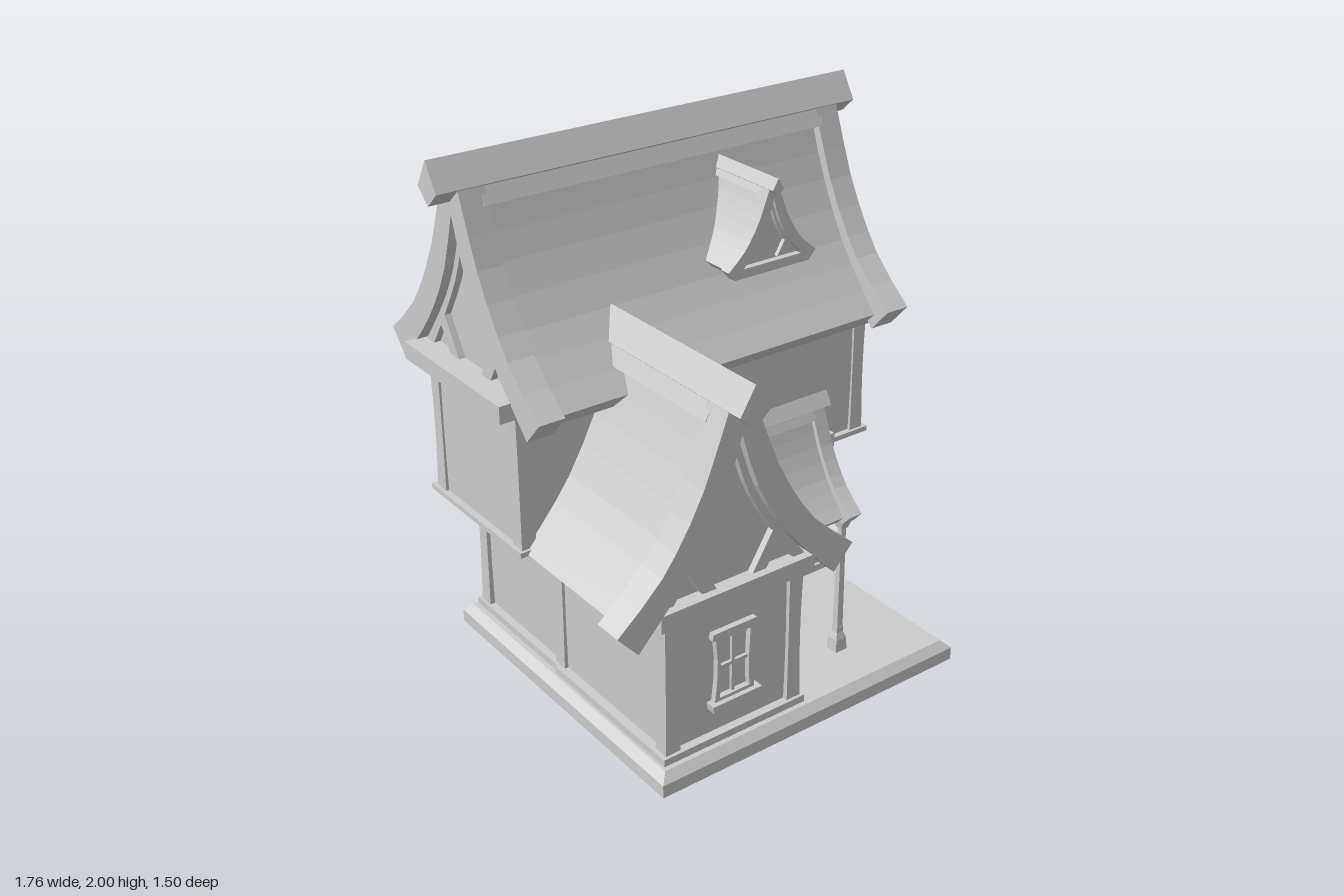
import * as THREE from 'three';

const stone = new THREE.MeshStandardMaterial({ color: 0xcccccc });
stone.name = 'plain grey';

const V = (p) => new THREE.Vector2(p[0], p[1]);

function add(parent, name, geometry) {
  const m = new THREE.Mesh(geometry, stone);
  m.name = name;
  parent.add(m);
  return m;
}

// Box given by its extents
function box(parent, name, x0, x1, y0, y1, z0, z1) {
  const m = add(parent, name, new THREE.BoxGeometry(x1 - x0, y1 - y0, z1 - z0));
  m.position.set((x0 + x1) / 2, (y0 + y1) / 2, (z0 + z1) / 2);
  return m;
}

// Flat outline extruded from z0 to z1
function slab(parent, name, pts, z0, z1, hole) {
  const shape = new THREE.Shape(pts.map(V));
  if (hole) shape.holes.push(new THREE.Path(hole.map(V)));
  const g = new THREE.ExtrudeGeometry(shape, { depth: z1 - z0, bevelEnabled: false });
  g.translate(0, 0, z0);
  return add(parent, name, g);
}

// Box whose cross-section follows scale(t), t from 0 at the foot to 1 at the top
function shapedBox(parent, name, x, z, y0, y1, w, d, scale, steps = 1) {
  let g = new THREE.BoxGeometry(w, y1 - y0, d, 1, steps, 1);
  const p = g.attributes.position;
  for (let i = 0; i < p.count; i++) {
    const [sx, sz] = scale(p.getY(i) / (y1 - y0) + 0.5);
    p.setX(i, p.getX(i) * sx);
    p.setZ(i, p.getZ(i) * sz);
  }
  g = g.toNonIndexed();
  g.computeVertexNormals();
  add(parent, name, g).position.set(x, (y0 + y1) / 2, z);
}

// Hewn corner post, slightly thinner at mid height
const post = (parent, x, z, y0, y1, w = 0.06) => shapedBox(parent, 'cornerPost', x, z, y0, y1, w, w,
  (t) => { const s = 1 - 0.14 * Math.sin(Math.PI * t); return [s, s]; }, 6);

const smooth = (pts, n = 8) => new THREE.SplineCurve(pts.map(V)).getPoints(n).map((p) => [p.x, p.y]);
const flip = (pts) => pts.map(([x, y]) => [-x, y]);

// Roof profiles measured from the ridge top, right half
const boardOut = smooth([[0.05, -0.09], [0.095, -0.21], [0.16, -0.37], [0.25, -0.525], [0.34, -0.64], [0.49, -0.77]]);
const boardIn = smooth([[0, -0.2], [0.07, -0.41], [0.163, -0.575], [0.27, -0.71], [0.41, -0.86]]);
const panelOut = smooth([[0.03, -0.12], [0.065, -0.23], [0.125, -0.375], [0.215, -0.545], [0.31, -0.675], [0.42, -0.8]]);
const panelIn = smooth([[0, -0.26], [0.05, -0.41], [0.14, -0.58], [0.24, -0.72], [0.365, -0.86]]);
const stripOut = smooth([[0, -0.2], [0.07, -0.41], [0.163, -0.575], [0.3, -0.755]]);
const stripIn = smooth([[0, -0.286], [0.055, -0.44], [0.15, -0.605], [0.25, -0.755]]);
const brace = [[0.165, -0.607], [0.2, -0.645], [0.133, -0.755], [0.075, -0.755]];
const attic = [[0, -0.2], [0.07, -0.41], [0.163, -0.575], [0.28, -0.72], [0.29, -0.84]];

// Closed arch: out along one eave, over the ridge and down the other
const arch = (outer, inner) => [
  ...flip(outer).reverse(), ...outer, ...[...inner].reverse(), ...flip(inner).slice(1),
];

// Swept gable roof along local z; faces lists the decorated ends as [wall, direction, beam front]
function roof(parent, name, s, o) {
  const g = new THREE.Group();
  g.name = name;
  g.scale.set(s, s, 1);
  slab(g, 'ridgeBeam', [[0, 0], [0.06, -0.1], [0, -0.155], [-0.06, -0.1]], ...o.ridge);
  slab(g, 'ridgeFlashing', [[0.05, -0.1], [0.082, -0.165], [-0.082, -0.165], [-0.05, -0.1]], ...o.panel);
  slab(g, 'roofPanel', arch(panelOut, panelIn), ...o.panel);
  for (const b of o.boards) slab(g, 'bargeBoard', arch(boardOut, boardIn), ...b);
  slab(g, 'gableWall', [...attic, ...flip(attic).reverse().slice(0, -1)], ...o.attic);
  const [bw, b0, b1] = o.beam || [0.32, -0.82, -0.755];
  for (const [wall, dir, front] of o.faces) {
    const ends = (a, b) => [Math.min(a, b), Math.max(a, b)];
    const e = ends(wall - dir * 0.01, wall + dir * 0.025 * Math.sqrt(s));
    slab(g, 'gableTimber', arch(stripOut, stripIn), ...e);
    slab(g, 'gableBrace', brace, ...e);
    slab(g, 'gableBrace', flip(brace), ...e);
    box(g, 'gableBeam', -bw, bw, b0, b1, ...ends(wall - dir * 0.03, front));
  }
  parent.add(g);
  return g;
}

// Window on a wall facing angle ry about y
function windowUnit(parent, x, y, z, ry) {
  const g = new THREE.Group();
  g.name = 'window';
  const side = [[0.085, -0.14], [0.076, -0.06], [0.074, 0.03], [0.082, 0.112], [0.096, 0.116], [0.092, 0.14]];
  const hole = [[-0.063, -0.125], [0.063, -0.125], [0.06, 0], [0.065, 0.108], [-0.065, 0.108], [-0.06, 0]];
  slab(g, 'windowFrame', [...side, ...flip(side).reverse()], -0.005, 0.022, hole);
  box(g, 'windowBar', -0.006, 0.006, -0.13, 0.11, -0.005, 0.012);
  box(g, 'windowBar', -0.065, 0.065, -0.016, -0.004, -0.005, 0.012);
  shapedBox(g, 'windowSill', 0, 0.015, -0.167, -0.138, 0.2, 0.05, (t) => [1 + 0.05 * t, 1]);
  g.position.set(x, y, z);
  g.rotation.y = ry;
  parent.add(g);
}

export function createModel() {
  const house = new THREE.Group();
  house.name = 'cottage';

  // Stepped plinth
  box(house, 'plinth', -0.68, 0.65, 0, 0.05, -0.6, 0.72);
  shapedBox(house, 'plinthTop', -0.015, 0.06, 0.05, 0.08, 1.33, 1.32, (t) => [1 - 0.045 * t, 1 - 0.045 * t]);

  // Walls, skirting and floor band
  box(house, 'groundFloor', -0.6, 0.59, 0.08, 0.65, -0.535, 0.02);
  box(house, 'upperFloor', -0.76, 0.765, 0.64, 1.2, -0.535, 0.02);
  box(house, 'frontWing', -0.605, -0.055, 0.08, 0.66, 0, 0.64);
  box(house, 'mainSkirting', -0.63, 0.62, 0.08, 0.108, -0.565, 0.045);
  box(house, 'wingSkirting', -0.64, -0.03, 0.08, 0.108, 0, 0.672);
  box(house, 'floorBand', -0.785, 0.8, 0.64, 0.66, -0.575, 0.045);

  // Corner posts and joist ends
  for (const z of [-0.52, 0.003]) {
    for (const x of [-0.59, 0.575]) post(house, x, z, 0.1, 0.64);
    for (const x of [-0.742, 0.752]) post(house, x, z, 0.66, 1.2);
  }
  for (const x of [-0.594, -0.07]) post(house, x, 0.63, 0.1, 0.64);
  for (const [x, z] of [[0.57, 0.025], [0.57, -0.55], [-0.59, -0.55]]) {
    box(house, 'joistEnd', x - 0.05, x + 0.05, 0.632, 0.69, z - 0.033, z + 0.033);
  }

  // Main roof, ridge along x
  const main = roof(house, 'mainRoof', 1, {
    ridge: [-0.88, 0.88], panel: [-0.72, 0.72], boards: [[-0.8, -0.7], [0.7, 0.8]],
    attic: [-0.74, 0.74], faces: [[0.74, 1, 0.8], [-0.74, -1, -0.845]],
  });
  main.position.set(0, 2, -0.26);
  main.rotation.y = Math.PI / 2;

  // Wing roof, ridge along z
  roof(house, 'wingRoof', 1, {
    ridge: [-0.15, 0.748], panel: [-0.02, 0.6], boards: [[0.575, 0.685]],
    attic: [-0.02, 0.63], faces: [[0.63, 1, 0.685]],
  }).position.set(-0.335, 1.445, 0);

  // Porch roof, ridge along x
  const porch = roof(house, 'porchRoof', 0.5, {
    ridge: [-0.26, 0.34], panel: [-0.2, 0.265], boards: [[0.255, 0.31]],
    attic: [-0.06, 0.275], faces: [[0.275, 1, 0.3]], beam: [0.36, -0.86, -0.8],
  });
  porch.position.set(0, 1.06, 0.315);
  porch.rotation.y = Math.PI / 2;

  // Roof dormer
  roof(house, 'dormer', 0.4, {
    ridge: [-0.24, 0.125], panel: [-0.24, 0.065], boards: [[0.06, 0.104]],
    attic: [-0.24, 0.075], faces: [[0.075, 1, 0.1]], beam: [0.4, -0.862, -0.775],
  }).position.set(0.256, 1.81, 0);

  // Porch posts with flared feet and brackets
  for (const z of [0.493, 0.138]) {
    shapedBox(house, 'porchPostFoot', 0.28, z, 0.08, 0.18, 0.052, 0.052,
      (t) => { const s = t > 0.7 ? 0.55 : 1 - 0.2 * t; return [s, s]; }, 4);
    shapedBox(house, 'porchPost', 0.28, z, 0.17, 0.61, 0.026, 0.026, (t) => [1 - 0.2 * t, 1 - 0.2 * t]);
    shapedBox(house, 'porchBracket', 0.28, z, 0.6, 0.64, 0.03, 0.03, (t) => [1 + 0.6 * t, 1 + t]);
  }

  // Door on the wing's porch side
  box(house, 'doorLeaf', -0.06, -0.05, 0.1, 0.495, 0.2, 0.45);
  for (const z of [0.19, 0.46]) box(house, 'doorJamb', -0.06, -0.04, 0.1, 0.495, z - 0.015, z + 0.015);
  box(house, 'doorLintel', -0.06, -0.035, 0.49, 0.52, 0.175, 0.475);
  add(house, 'doorKnob', new THREE.SphereGeometry(0.012, 10, 8)).position.set(-0.043, 0.29, 0.248);

  // Windows
  windowUnit(house, -0.335, 0.377, 0.64, 0);
  windowUnit(house, 0.59, 0.377, -0.265, Math.PI / 2);
  windowUnit(house, 0.765, 0.935, -0.265, Math.PI / 2);
  for (const x of [-0.41, 0.41]) windowUnit(house, x, 0.935, -0.535, Math.PI);
  for (const x of [-0.24, 0.25]) windowUnit(house, x, 0.377, -0.535, Math.PI);

  return house;
}
